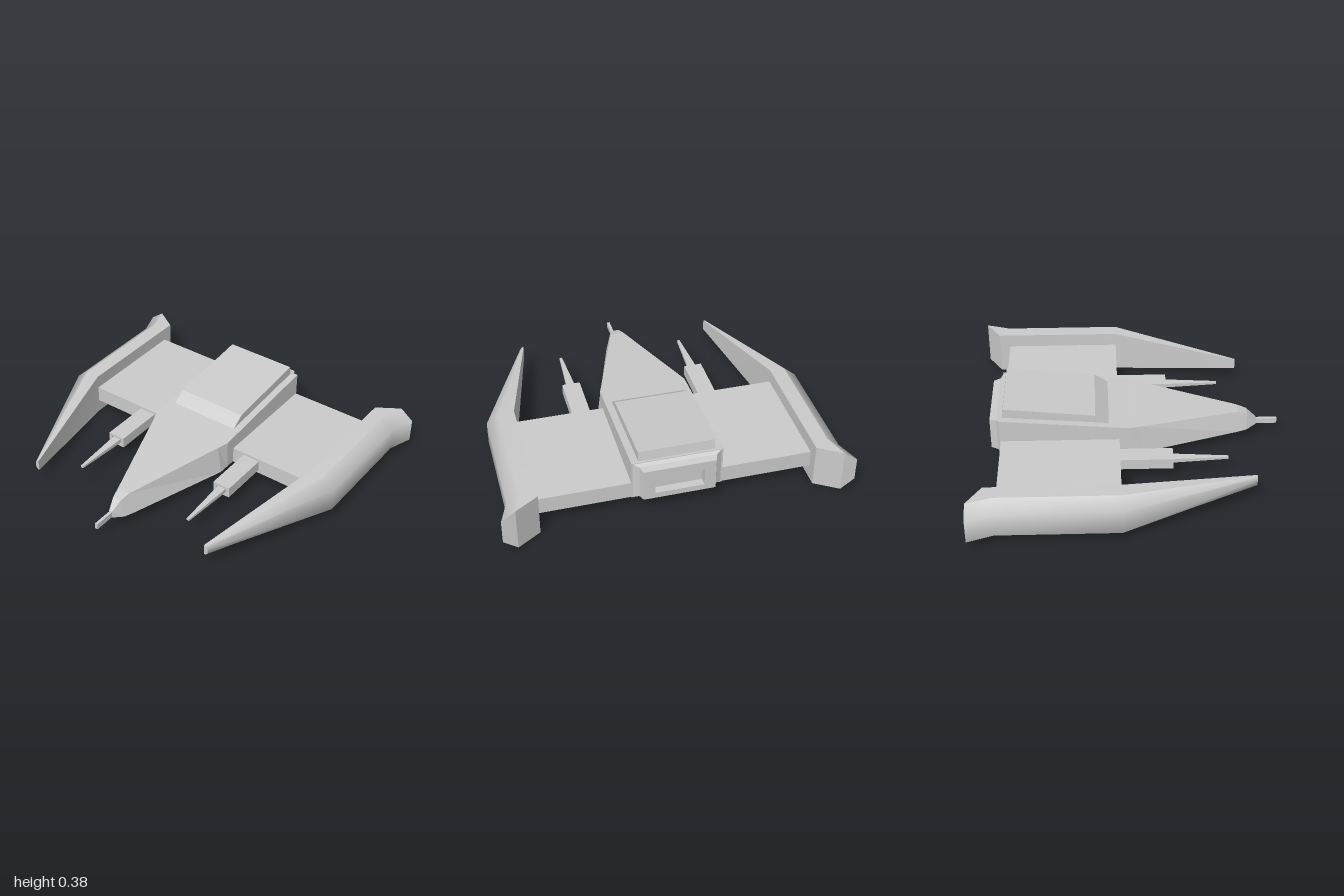
import * as THREE from 'three';

const flat = new THREE.MeshStandardMaterial({ color: 0xcccccc, flatShading: true });
const smooth = new THREE.MeshStandardMaterial({ color: 0xcccccc });

// Skin between cross-sections (counter-clockwise seen from +z, listed back to front).
// Each run of profile indices is smoothed on its own; caps are fans from one corner.
function loft(sections, runs, pivot = 0) {
  const pos = [], index = [];
  const n = sections[0].length;
  for (const run of runs) {
    const base = pos.length / 3, m = run.length;
    for (const s of sections) for (const j of run) pos.push(...s[j]);
    for (let i = 0; i < sections.length - 1; i++) {
      for (let j = 0; j < m - 1; j++) {
        const a = base + i * m + j, d = a + m;
        index.push(a, a + 1, d + 1, a, d + 1, d);
      }
    }
  }
  const cap = (s, front) => {
    for (let k = 1; k < n - 1; k++) {
      const p = s[pivot], q = s[(pivot + k) % n], r = s[(pivot + k + 1) % n];
      const b = pos.length / 3;
      pos.push(...p, ...(front ? q : r), ...(front ? r : q));
      index.push(b, b + 1, b + 2);
    }
  };
  cap(sections[0], false);
  cap(sections[sections.length - 1], true);
  const g = new THREE.BufferGeometry();
  g.setAttribute('position', new THREE.Float32BufferAttribute(pos, 3));
  g.setIndex(index);
  g.computeVertexNormals();
  return g;
}

// Four-cornered section with its own bottom and top half-widths
const rect = (wBottom, wTop, y0, y1, z, x = 0) => [
  [x - wBottom, y0, z], [x + wBottom, y0, z], [x + wTop, y1, z], [x - wTop, y1, z],
];
const quadRuns = [[0, 1], [1, 2], [2, 3], [3, 0]];

function mirrored(geometry) {
  const g = geometry.clone().scale(-1, 1, 1);
  g.index.array.reverse();
  return g;
}

export function createModel() {
  const model = new THREE.Group();
  model.name = 'spacecraft';
  const add = (name, geometry, material = flat) => {
    const mesh = new THREE.Mesh(geometry, material);
    mesh.name = name;
    model.add(mesh);
    return mesh;
  };
  const addPair = (name, geometry, material = flat) => {
    add(name + 'Left', geometry, material);
    add(name + 'Right', mirrored(geometry), material);
  };

  // Flat wing slab
  add('wing', new THREE.BoxGeometry(1.58, 0.1, 0.69)).position.set(0, 0.13, -0.405);

  // Wedge hull tapering to the nose
  add('hull', loft([
    rect(0.26, 0.26, 0.08, 0.32, -0.755),
    rect(0.26, 0.26, 0.08, 0.257, 0),
    rect(0.26, 0.238, 0.08, 0.252, 0.065),
    rect(0.073, 0.04, 0.08, 0.205, 0.65),
    rect(0.05, 0.027, 0.08, 0.187, 0.71),
    rect(0.012, 0.01, 0.095, 0.135, 0.77),
  ], quadRuns));

  // Nose probe
  add('noseProbe', new THREE.BoxGeometry(0.018, 0.034, 0.14)).position.set(0, 0.114, 0.825);

  // Raised canopy
  add('canopy', loft([
    rect(0.218, 0.218, 0.26, 0.375, -0.73).map(([x, y, z]) => [x, y, y < 0.3 ? -0.75 : z]),
    rect(0.218, 0.218, 0.25, 0.32, -0.2),
    rect(0.218, 0.218, 0.24, 0.266, -0.12),
  ], quadRuns));

  // Engine block: recessed nozzle, rim, then flare into the hull
  add('engine', loft([
    rect(0.14, 0.14, 0.135, 0.245, -0.765),
    rect(0.14, 0.14, 0.135, 0.245, -0.812),
    rect(0.205, 0.205, 0.1, 0.295, -0.812),
    rect(0.22, 0.22, 0.095, 0.302, -0.772),
    rect(0.26, 0.26, 0.08, 0.32, -0.75),
  ], quadRuns));

  // Side pods: bevelled outside, flat inside, flared tail and converging tip
  const podSection = (x, y0, y1, bevel, z, zInner = z) => [
    [x[0], y0, zInner], [x[1], y0, z], [x[2], y0 + bevel, z],
    [x[2], y1 - bevel, z], [x[1], y1, z], [x[0], y1, zInner],
  ];
  addPair('pod', loft([
    podSection([0.785, 0.92, 1], 0, 0.262, 0.06, -0.9, -0.815),
    podSection([0.785, 0.875, 0.948], 0, 0.262, 0.06, -0.755),
    podSection([0.785, 0.875, 0.948], 0, 0.262, 0.06, -0.06),
    podSection([0.6, 0.611, 0.623], 0.1, 0.165, 0.015, 0.705),
  ], [[0, 1], [1, 2, 3, 4], [4, 5], [5, 0]], 1), smooth);

  // Guns: housing with a recessed muzzle and a tapered barrel
  const gx = 0.388;
  addPair('gunHousing', loft([
    rect(0.054, 0.054, 0.1, 0.165, -0.08, gx),
    rect(0.054, 0.054, 0.1, 0.165, 0.245, gx),
    rect(0.034, 0.034, 0.115, 0.15, 0.245, gx),
    rect(0.034, 0.034, 0.115, 0.15, 0.215, gx),
  ], quadRuns));
  addPair('gunBarrel', loft([
    rect(0.028, 0.028, 0.119, 0.146, 0.21, gx),
    rect(0.008, 0.008, 0.126, 0.139, 0.565, gx),
  ], quadRuns));

  return model;
}
